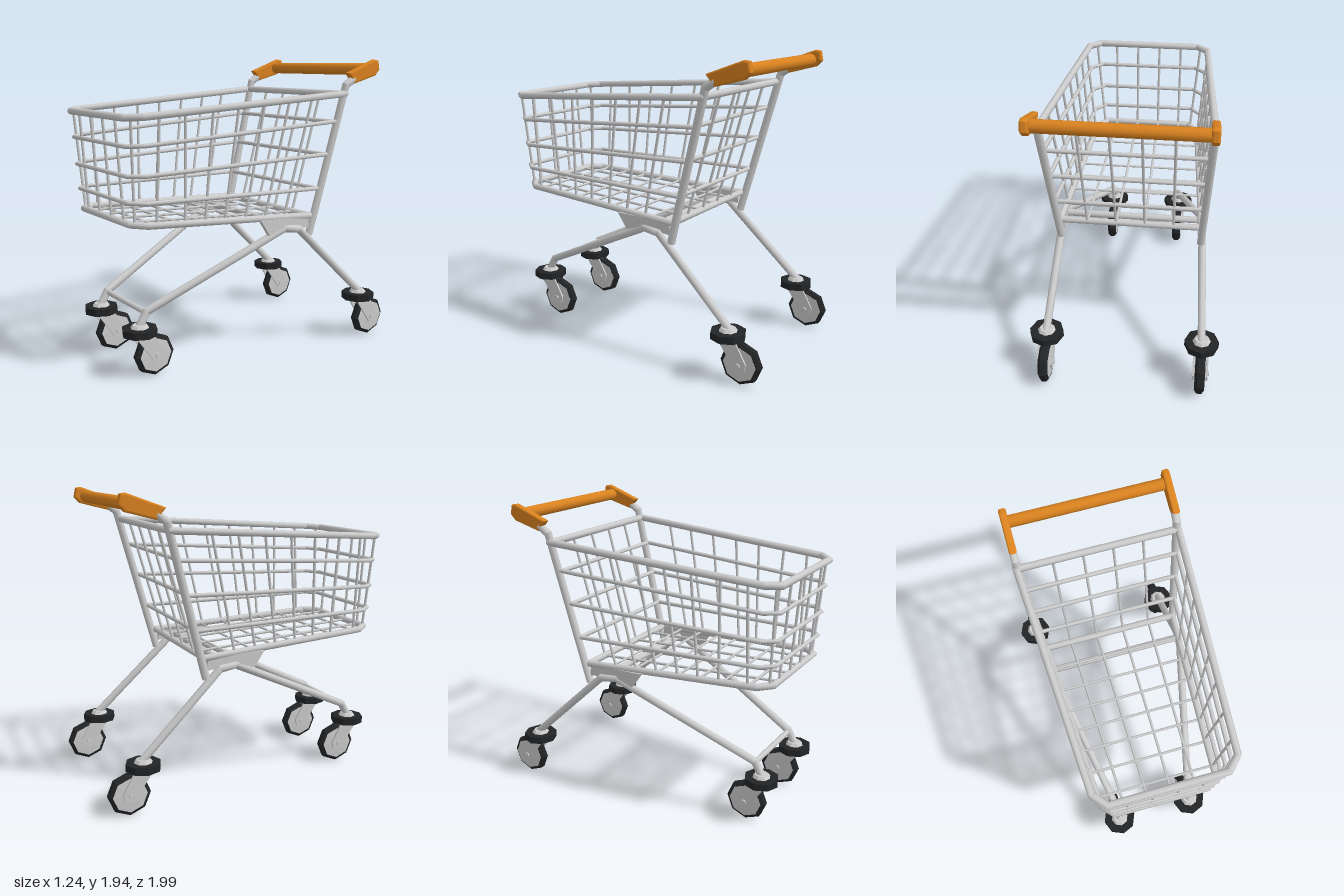
import * as THREE from 'three';

const steel = new THREE.MeshStandardMaterial({ color: 0xcccccc });
const steelFlat = new THREE.MeshStandardMaterial({ color: 0xcccccc, flatShading: true });
const rubber = new THREE.MeshStandardMaterial({ color: 0x222426, flatShading: true });
const orange = new THREE.MeshStandardMaterial({ color: 0xd9821f });
const orangeFlat = new THREE.MeshStandardMaterial({ color: 0xd9821f, flatShading: true });
const V = (x, y, z) => new THREE.Vector3(x, y, z);

function add(parent, name, geometry, material, x = 0, y = 0, z = 0) {
  const mesh = new THREE.Mesh(geometry, material);
  mesh.name = name;
  mesh.position.set(x, y, z);
  parent.add(mesh);
}

// Round bar along a bent path, with mitred corners and capped ends
function bar(points, radius, closed = false, sides = 8) {
  const n = points.length, count = closed ? n : n - 1;
  const dir = [];
  for (let i = 0; i < count; i++) dir.push(points[(i + 1) % n].clone().sub(points[i]).normalize());
  const plane = (i) => {
    if (!closed && i === 0) return dir[0];
    if (!closed && i === n - 1) return dir[count - 1];
    return dir[(i - 1 + count) % count].clone().add(dir[i % count]).normalize();
  };
  const a = Math.abs(dir[0].y) > 0.9 ? V(1, 0, 0) : V(0, 1, 0);
  const u = a.cross(dir[0]).normalize(), v = dir[0].clone().cross(u);
  let ring = [];
  for (let k = 0; k < sides; k++) {
    const t = (k + 0.5) / sides * Math.PI * 2;
    ring.push(u.clone().multiplyScalar(radius * Math.cos(t)).addScaledVector(v, radius * Math.sin(t)));
  }
  const slide = (r, d, p) => r.map((o) => o.clone().addScaledVector(d, -o.dot(p) / d.dot(p)));
  ring = slide(ring, dir[0], plane(0));
  const pos = [], idx = [];
  const put = (p, r) => r.forEach((o) => pos.push(p.x + o.x, p.y + o.y, p.z + o.z));
  const cap = (p, r, flip) => {
    const s = pos.length / 3;
    put(p, r);
    for (let k = 1; k < sides - 1; k++) idx.push(s, s + (flip ? k + 1 : k), s + (flip ? k : k + 1));
  };
  if (!closed) cap(points[0], ring, true);
  for (let i = 0; i < count; i++) {
    const next = slide(ring, dir[i], plane(i + 1)), s = pos.length / 3;
    put(points[i], ring);
    put(points[(i + 1) % n], next);
    for (let k = 0; k < sides; k++) {
      const b = s + k, c = s + (k + 1) % sides;
      idx.push(b, c, c + sides, b, c + sides, b + sides);
    }
    ring = next;
  }
  if (!closed) cap(points[n - 1], ring, false);
  const g = new THREE.BufferGeometry();
  g.setAttribute('position', new THREE.Float32BufferAttribute(pos, 3));
  g.setIndex(idx);
  g.computeVertexNormals();
  return g;
}

// Plate drawn as [z, y] corners, with its thickness along x and optional bevelled rims
function plate(corners, thickness, bevel = 0) {
  const shape = new THREE.Shape(corners.map(([z, y]) => new THREE.Vector2(z, y)));
  const depth = thickness - 2 * bevel;
  const g = new THREE.ExtrudeGeometry(shape, {
    depth, bevelEnabled: bevel > 0, bevelThickness: bevel, bevelSize: bevel, bevelOffset: -bevel, bevelSegments: 2,
  });
  return g.translate(0, 0, -depth / 2).rotateY(-Math.PI / 2);
}

// Hoops of the basket: front z and y, back z and y, half widths, bar radius
const hoops = [
  { fz: 0.925, fy: 0.988, bz: -0.342, by: 0.92, fw: 0.39, bw: 0.465, r: 0.022 },
  { fz: 0.94, fy: 1.12, bz: -0.395, by: 1.1, fw: 0.405, bw: 0.482, r: 0.014 },
  { fz: 0.95, fy: 1.28, bz: -0.448, by: 1.325, fw: 0.415, bw: 0.495, r: 0.014 },
  { fz: 0.96, fy: 1.455, bz: -0.502, by: 1.54, fw: 0.425, bw: 0.508, r: 0.014 },
  { fz: 0.97, fy: 1.62, bz: -0.57, by: 1.72, fw: 0.437, bw: 0.523, r: 0.023 },
];
const heightAt = (h, z) => h.by + (h.fy - h.by) * (z - h.bz) / (h.fz - h.bz);
const widthAt = (h, z) => {
  const side = h.bw + (h.fw - h.bw) * (z - h.bz) / (h.fz - 0.08 - h.bz);
  return Math.min(side, h.fw - 0.075 + (h.fz - z) * 0.94);
};

function basket() {
  const g = new THREE.Group();
  g.name = 'basket';
  const floor = hoops[0], rim = hoops[4];
  hoops.forEach((h, i) => {
    const half = [[h.bw, h.bz], [h.fw, h.fz - 0.08], [h.fw - 0.075, h.fz]];
    const pts = half.map(([x, z]) => V(x, heightAt(h, z), z));
    pts.push(...pts.slice().reverse().map((p) => V(-p.x, p.y, p.z)));
    add(g, i === 4 ? 'rim' : i === 0 ? 'floorFrame' : 'basketHoop', bar(pts, h.r, true), steel);
  });

  // Side wires as [top z, bottom z], fanning out toward the front
  const fan = [[0.945, 0.905], [0.79, 0.79], [0.62, 0.6], [0.43, 0.46], [0.25, 0.32],
    [0.06, 0.17], [-0.13, 0.02], [-0.31, -0.13]];
  for (const [top, bottom] of fan) {
    for (const s of [1, -1]) {
      const pts = [V(s * widthAt(floor, bottom), heightAt(floor, bottom), bottom),
        V(s * widthAt(rim, top), heightAt(rim, top), top)];
      add(g, 'sideWire', bar(pts, 0.009, false, 6), steel);
    }
  }

  // Wires running up the back, along the floor and up the front
  for (const k of [-1.5, -0.5, 0.5, 1.5]) {
    const pts = [V(k * 0.195, rim.by, rim.bz), V(k * 0.19, floor.by, floor.bz),
      V(k * 0.16, floor.fy, floor.fz), V(k * 0.16, rim.fy, rim.fz)];
    add(g, 'longWire', bar(pts, 0.009, false, 6), steel);
  }

  // Floor cross wires
  for (const z of [0.79, 0.62, 0.46, 0.31, 0.16, 0, -0.17]) {
    const x = widthAt(floor, z), y = heightAt(floor, z);
    add(g, 'floorWire', bar([V(-x, y, z), V(x, y, z)], 0.009, false, 6), steel);
  }
  return g;
}

// Swivel caster: collar, fork and trailing wheel
function caster(x, z) {
  const g = new THREE.Group();
  g.name = 'caster';
  g.position.set(x, 0, z);
  add(g, 'collar', new THREE.CylinderGeometry(0.112, 0.112, 0.046, 8), rubber, 0, 0.302, 0);
  add(g, 'collarCap', new THREE.CylinderGeometry(0.045, 0.06, 0.02, 8), steelFlat, 0, 0.334, 0);
  const fork = [[0.055, 0.285], [-0.07, 0.285], [-0.145, 0.15], [-0.135, 0.105], [-0.075, 0.1]];
  for (const s of [1, -1]) add(g, 'forkPlate', plate(fork, 0.012), steelFlat, s * 0.044);
  const tyre = [[0.1, -0.025], [0.113, -0.033], [0.135, -0.016], [0.135, 0.016], [0.113, 0.033], [0.1, 0.025]];
  const hub = [[0, -0.036], [0.04, -0.036], [0.11, -0.032], [0.11, 0.032], [0.04, 0.036], [0, 0.036]];
  const turn = (p) => new THREE.LatheGeometry(p.map(([r, w]) => new THREE.Vector2(r, w)), 8).rotateZ(Math.PI / 2);
  add(g, 'tyre', turn(tyre), rubber, 0, 0.135, -0.095);
  add(g, 'hub', turn(hub), steelFlat, 0, 0.135, -0.095);
  add(g, 'axle', new THREE.CylinderGeometry(0.017, 0.017, 0.12, 6).rotateZ(Math.PI / 2), steelFlat, 0, 0.135, -0.095);
  return g;
}

export function createModel() {
  const model = new THREE.Group();
  model.name = 'shoppingCart';
  model.add(basket());

  const gusset = [[0.07, 0.93], [-0.32, 0.92], [-0.33, 0.84], [-0.24, 0.85], [-0.13, 0.87], [0, 0.825]];
  const grip = [[-0.6, 1.855], [-0.84, 1.942], [-0.875, 1.937], [-0.888, 1.875], [-0.85, 1.835], [-0.66, 1.785]];
  for (const s of [1, -1]) {
    // Bent leg from front caster to rear caster
    const leg = [V(s * 0.265, 0.325, 0.855), V(s * 0.265, 0.418, 0.8), V(s * 0.46, 0.857, -0.13),
      V(s * 0.472, 0.843, -0.24), V(s * 0.51, 0.325, -0.785)];
    add(model, 'leg', bar(leg, 0.026), steel);
    // Upright that carries the handle
    const post = [V(s * 0.468, 0.79, -0.335), V(s * 0.516, 1.775, -0.594), V(s * 0.516, 1.818, -0.66)];
    add(model, 'handlePost', bar(post, 0.026), steel);
    add(model, 'gusset', plate(gusset, 0.03), steelFlat, s * 0.458);
    add(model, 'handleEnd', plate(grip, 0.048, 0.012), orangeFlat, s * 0.515);
    model.add(caster(s * 0.265, 0.85), caster(s * 0.51, -0.77));
  }

  // Cross members
  add(model, 'frontCrossbar', bar([V(-0.265, 0.41, 0.8), V(0.265, 0.41, 0.8)], 0.019), steel);
  add(model, 'underCrossbar', bar([V(-0.46, 0.87, -0.19), V(0.46, 0.87, -0.19)], 0.023), steel);
  add(model, 'handleBar', bar([V(-0.51, 1.878, -0.812), V(0.51, 1.878, -0.812)], 0.04, false, 10), orange);
  return model;
}
